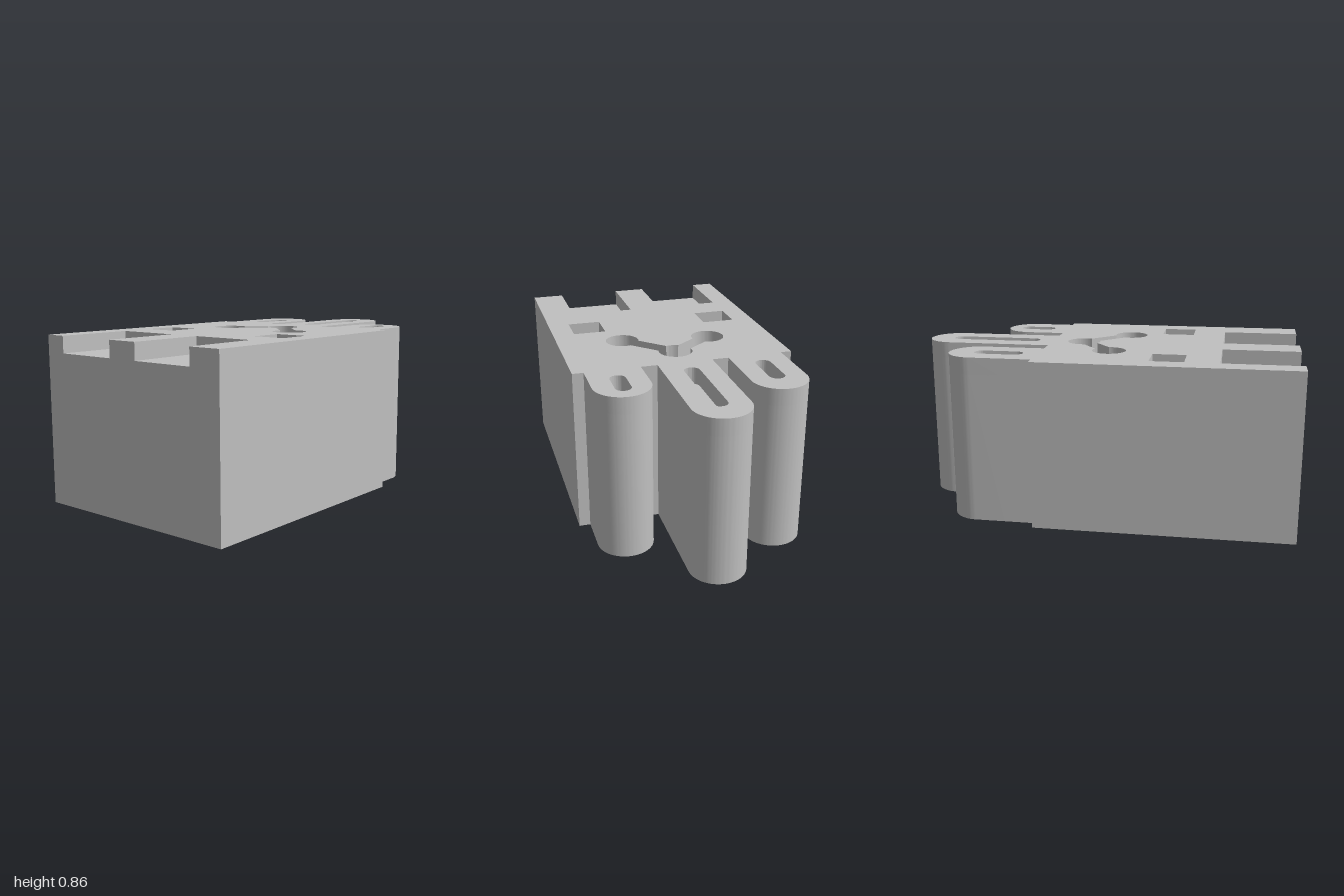
import * as THREE from 'three';
import { toCreasedNormals } from 'three/addons/utils/BufferGeometryUtils.js';

const HEIGHT = 0.857, DEPTH = 0.086;   // block height, pocket depth
const HALF = 0.571, SHOULDER = 0.314;  // half width, back edge of the main body
const FINGER_R = 0.143;

// fingers from +x to -x: centre, tip, slot end (plan coordinates, back is up)
const FINGERS = [
  { x: 0.371, tip: 0.657, slotEnd: 0.585 },
  { x: 0, tip: 1, slotEnd: 0.871 },
  { x: -0.371, tip: 0.771, slotEnd: 0.642 },
];

// plan outline; the upper layer has two notches open to the front
function outline(notched) {
  const s = new THREE.Shape();
  s.moveTo(-HALF, -1);
  if (notched) {
    for (const [a, b] of [[-0.457, -0.114], [0.057, 0.4]]) {
      s.lineTo(a, -1).lineTo(a, -0.6).lineTo(b, -0.6).lineTo(b, -1);
    }
  }
  s.lineTo(HALF, -1).lineTo(HALF, SHOULDER);
  for (const { x, tip } of FINGERS) {
    s.lineTo(x + FINGER_R, SHOULDER);
    s.absarc(x, tip - FINGER_R, FINGER_R, 0, Math.PI, false);
    s.lineTo(x - FINGER_R, SHOULDER);
  }
  s.lineTo(-HALF, SHOULDER);
  s.closePath();
  return s;
}

// rounded slot along a finger
function slot({ x, slotEnd }) {
  const r = 0.04, p = new THREE.Path();
  p.absarc(x, slotEnd - r, r, 0, Math.PI, false);
  p.absarc(x, 0.39 + r, r, Math.PI, Math.PI * 2, false);
  p.closePath();
  return p;
}

function squarePocket(x) {
  const w = 0.0865, p = new THREE.Path();
  p.moveTo(x - w, -0.428).lineTo(x + w, -0.428).lineTo(x + w, -0.256).lineTo(x - w, -0.256);
  p.closePath();
  return p;
}

// three round pockets joined by two channels
function linkedPockets() {
  const r = 0.087, d = Math.asin(0.04 / r), turn = Math.PI * 2;
  const hub = [0, 0.145], left = [0.229, -0.084], right = [-0.229, -0.026];
  const angleTo = ([x, y]) => Math.atan2(y - hub[1], x - hub[0]);
  const aR = angleTo(right), aL = angleTo(left);
  const p = new THREE.Path();
  p.absarc(...hub, r, aL + d, aR - d + turn, false);
  p.absarc(...right, r, aR + Math.PI + d, aR + Math.PI - d + turn, false);
  p.absarc(...hub, r, aR + d, aL - d, false);
  p.absarc(...left, r, aL + Math.PI + d, aL + Math.PI - d + turn, false);
  p.closePath();
  return p;
}

export function createModel() {
  const group = new THREE.Group();
  group.name = 'fingeredBlock';
  const grey = new THREE.MeshStandardMaterial({ color: 0xc0c0c0 });
  grey.name = 'grey';

  function layer(name, shape, y, depth) {
    const geo = new THREE.ExtrudeGeometry(shape, { depth, bevelEnabled: false, curveSegments: 32 });
    geo.rotateX(-Math.PI / 2);
    const mesh = new THREE.Mesh(toCreasedNormals(geo, 0.5), grey);
    mesh.position.y = y;
    mesh.name = name;
    group.add(mesh);
  }

  // solid lower block, whose top forms the pocket floors
  layer('lowerBlock', outline(false), 0, HEIGHT - DEPTH);

  // upper layer with all recesses cut through it
  const top = outline(true);
  top.holes.push(...FINGERS.map(slot), squarePocket(-0.371), squarePocket(0.371), linkedPockets());
  layer('pocketedTop', top, HEIGHT - DEPTH, DEPTH);

  return group;
}
